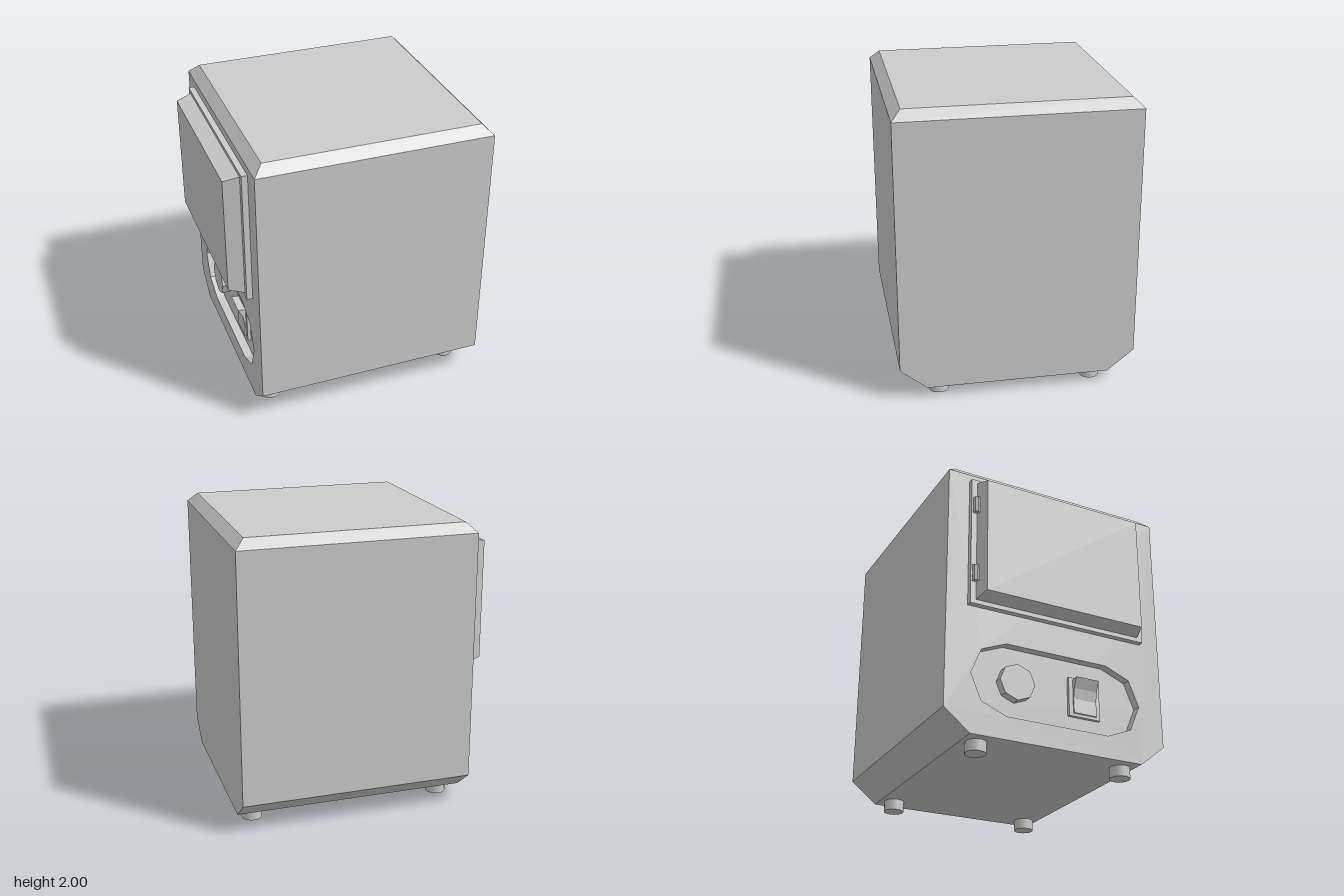
import * as THREE from 'three';

const grey = new THREE.MeshStandardMaterial({ color: 0xcccccc });
const flat = new THREE.MeshStandardMaterial({ color: 0xcccccc, flatShading: true });
const X0 = -0.73, X1 = 0.87, Z = 0.8, FLOOR = -0.67;

function add(parent, name, geometry, x = 0, y = 0, z = 0, material = flat) {
  const mesh = new THREE.Mesh(geometry, material);
  mesh.name = name;
  mesh.position.set(x, y, z);
  parent.add(mesh);
  return mesh;
}

const shapeOf = (pts) => new THREE.Shape(pts.map(([z, y]) => new THREE.Vector2(z, y)));

// Stadium outline of the control recess, as [z, y] pairs running counter-clockwise
function recessOutline() {
  const pts = [];
  for (const side of [1, -1]) {
    for (let i = 0; i <= 4; i++) {
      const a = -Math.PI / 2 + (i * Math.PI) / 4 + (side < 0 ? Math.PI : 0);
      pts.push([side * 0.37 + 0.25 * Math.cos(a), 0.48 + 0.25 * Math.sin(a)]);
    }
  }
  return pts;
}

// Cabinet walls lofted through rectangular rings, leaving the control side open
function shellGeometry(outline) {
  const v = [];
  const quad = (a, b, c, d) => v.push(...a, ...b, ...c, ...a, ...c, ...d);
  const ring = (y, x0, x1, z) => [[x0, y, z], [x1, y, z], [x1, y, -z], [x0, y, -z]];
  const rings = [
    ring(0.075, X0, X1, 0.62),
    ring(0.22, X0, X1, Z),
    ring(1.935, X0, X1, Z),
    ring(2, X0 + 0.065, X1 - 0.065, Z - 0.065),
  ];
  for (let r = 0; r < 3; r++) {
    for (let i = 0; i < (r === 2 ? 4 : 3); i++) {
      const j = (i + 1) % 4;
      quad(rings[r][i], rings[r][j], rings[r + 1][j], rings[r + 1][i]);
    }
  }
  quad(...rings[3]);
  quad(...[...rings[0]].reverse());
  // Inward-facing walls of the recess
  outline.forEach(([z, y], i) => {
    const [z2, y2] = outline[(i + 1) % outline.length];
    quad([X0, y, z], [X0, y2, z2], [FLOOR, y2, z2], [FLOOR, y, z]);
  });
  const g = new THREE.BufferGeometry();
  g.setAttribute('position', new THREE.Float32BufferAttribute(v, 3));
  g.computeVertexNormals();
  return g;
}

// Box whose outer (-x) face is drawn in by the inset
function bevelledDoor(dx, dy, dz, inset) {
  const g = new THREE.BoxGeometry(dx, dy, dz);
  const p = g.attributes.position;
  for (let i = 0; i < p.count; i++) {
    if (p.getX(i) < 0) {
      p.setY(i, p.getY(i) - Math.sign(p.getY(i)) * inset);
      p.setZ(i, p.getZ(i) - Math.sign(p.getZ(i)) * inset);
    }
  }
  g.computeVertexNormals();
  return g;
}

export function createModel() {
  const model = new THREE.Group();
  model.name = 'cabinet';

  // Cabinet body with the recessed control panel
  const body = new THREE.Group();
  body.name = 'body';
  model.add(body);
  const outline = recessOutline();
  add(body, 'shell', shellGeometry(outline));
  const side = shapeOf([[-0.62, 0.075], [0.62, 0.075], [Z, 0.22], [Z, 1.935], [-Z, 1.935], [-Z, 0.22]]);
  side.holes.push(shapeOf(outline));
  add(body, 'controlSide', new THREE.ShapeGeometry(side).rotateY(-Math.PI / 2), X0);
  add(body, 'recessFloor', new THREE.ShapeGeometry(shapeOf(outline)).rotateY(-Math.PI / 2), FLOOR);

  // Door, its frame and two hinges
  add(model, 'doorFrame', new THREE.BoxGeometry(0.04, 0.935, 1.3), -0.75, 1.4125, 0);
  add(model, 'door', bevelledDoor(0.105, 0.88, 1.22, 0.028), -0.8225, 1.415, 0);
  for (const y of [1.16, 1.675]) {
    add(model, 'hinge', new THREE.CylinderGeometry(0.026, 0.026, 0.115, 8), -0.775, y, -0.615);
  }

  // Dial
  const dial = new THREE.CylinderGeometry(0.125, 0.125, 0.06, 8).rotateZ(Math.PI / 2);
  add(model, 'dial', dial, -0.7, 0.48, -0.29);

  // Rocker switch on its plate
  add(model, 'switchPlate', new THREE.BoxGeometry(0.025, 0.27, 0.23), -0.68, 0.475, 0.22);
  const rocker = new THREE.Shape([
    [-0.67, 0.36], [-0.67, 0.59], [-0.745, 0.6], [-0.712, 0.53], [-0.7, 0.46], [-0.705, 0.36],
  ].map(([x, y]) => new THREE.Vector2(x, y)));
  add(model, 'rocker', new THREE.ExtrudeGeometry(rocker, { depth: 0.17, bevelEnabled: false }), 0, 0, 0.135);

  // Feet
  for (const x of [-0.6, 0.75]) {
    for (const z of [-0.52, 0.53]) {
      add(model, 'foot', new THREE.CylinderGeometry(0.07, 0.07, 0.075, 16), x, 0.0375, z, grey);
    }
  }
  return model;
}
